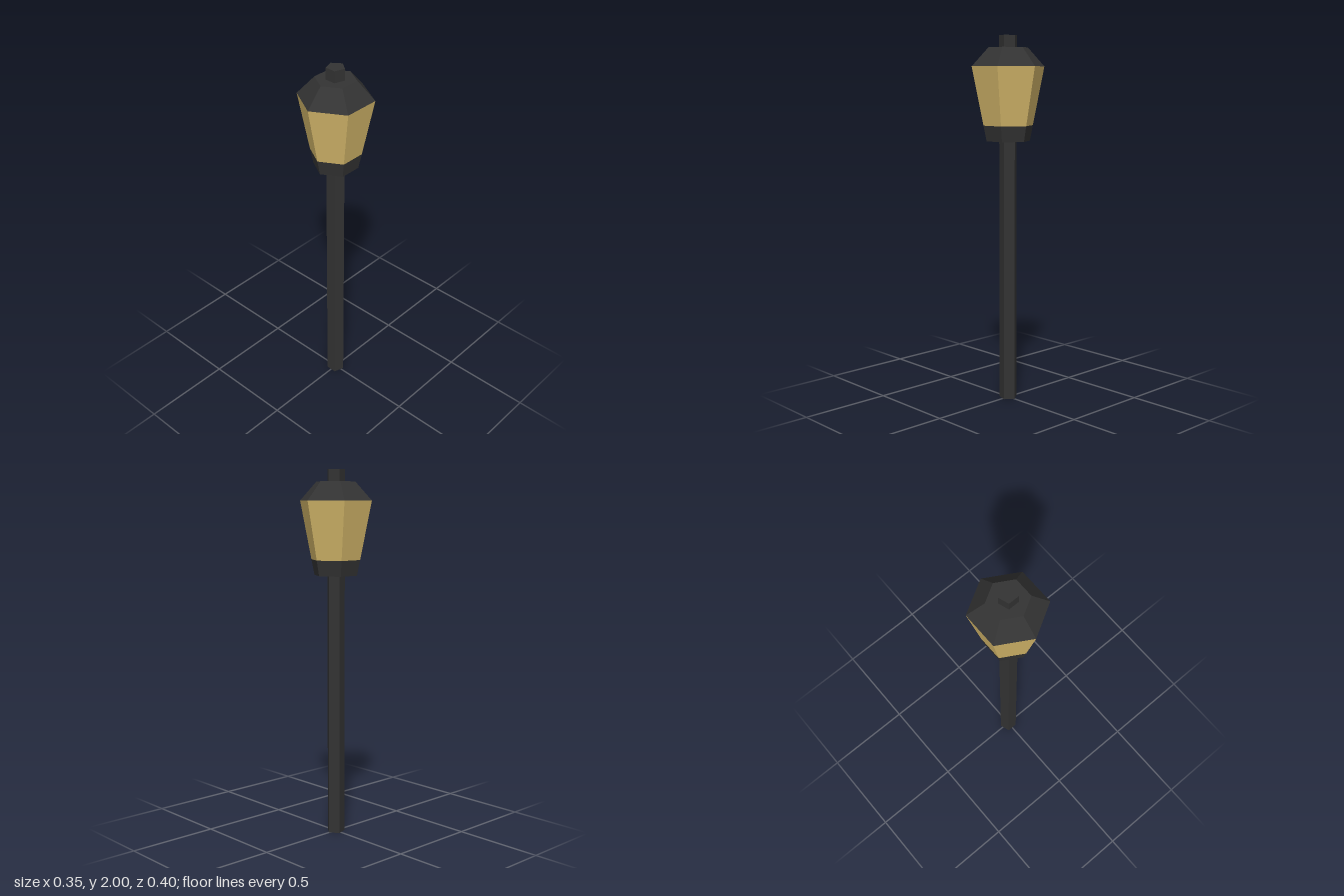
import * as THREE from 'three';

export function createModel() {
  const group = new THREE.Group();
  group.name = 'streetLamp';

  const iron = new THREE.MeshStandardMaterial({ color: 0x333333, flatShading: true });
  iron.name = 'dark iron';
  const glass = new THREE.MeshStandardMaterial({ color: 0xd4b76a, flatShading: true });
  glass.name = 'amber glass';

  // Straight-sided frustum between two heights
  function frustum(name, material, sides, y0, r0, y1, r1, open = false) {
    const geometry = new THREE.CylinderGeometry(r1, r0, y1 - y0, sides, 1, open);
    const mesh = new THREE.Mesh(geometry, material);
    mesh.name = name;
    mesh.position.y = (y0 + y1) / 2;
    group.add(mesh);
    return mesh;
  }

  // Five-sided pole, running through the lantern to form the finial
  frustum('pole', iron, 5, 0, 0.05, 2, 0.05).rotation.y = Math.PI;

  // Six-sided lantern: collar, glass panes and sloping roof
  frustum('lanternCollar', iron, 6, 1.438, 0.12, 1.522, 0.137);
  frustum('lanternGlass', glass, 6, 1.522, 0.137, 1.836, 0.2, true);
  frustum('lanternRoof', iron, 6, 1.836, 0.2, 1.936, 0.108);

  return group;
}
